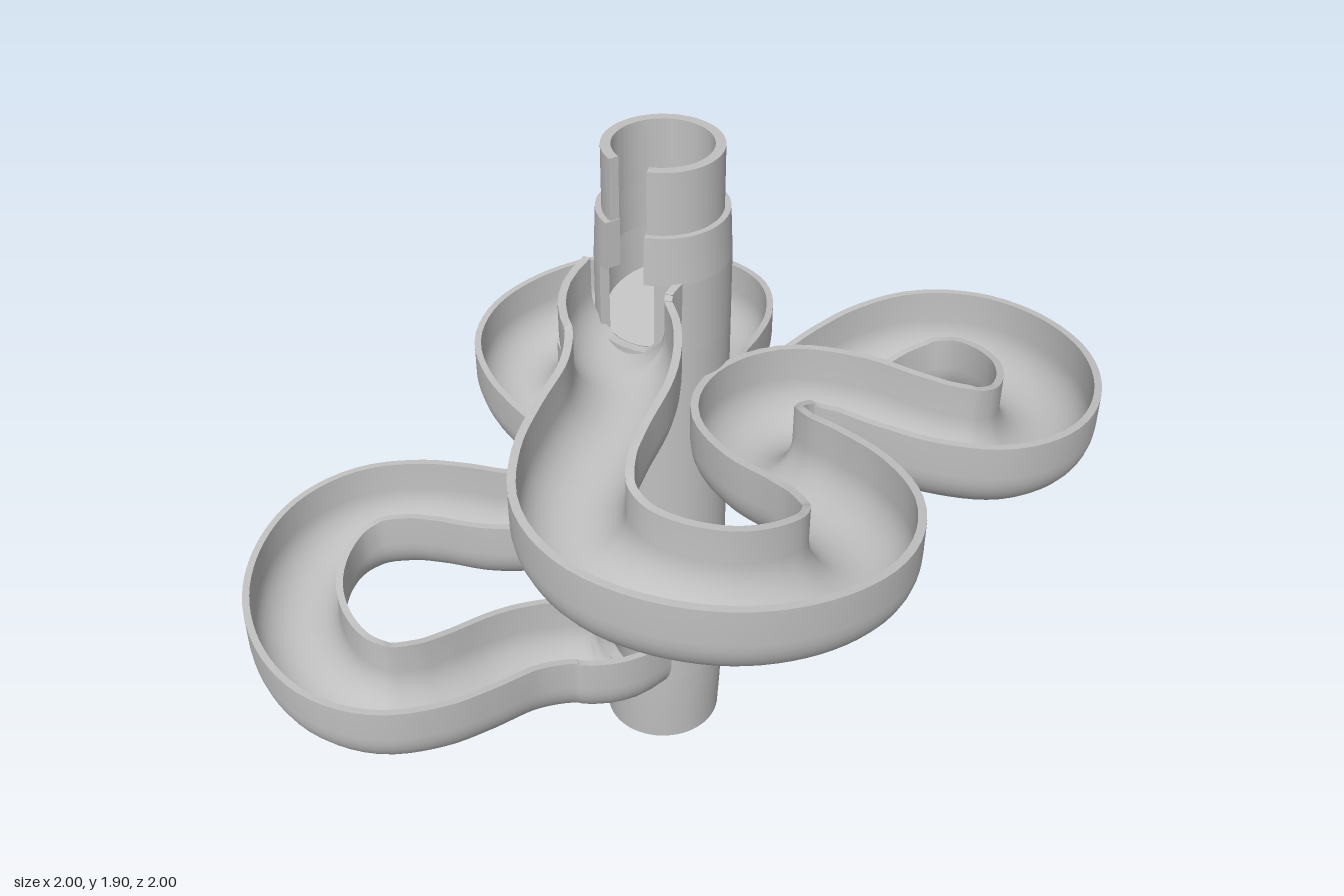
import * as THREE from 'three';
import { toCreasedNormals } from 'three/addons/utils/BufferGeometryUtils.js';

export function createModel() {
  const model = new THREE.Group();
  model.name = 'marbleRun';
  const grey = new THREE.MeshStandardMaterial({ color: 0xc0c0c0, side: THREE.DoubleSide });
  grey.name = 'lightGrey';

  const add = (geometry, name, parent = model) => {
    const mesh = new THREE.Mesh(geometry, grey);
    mesh.name = name;
    parent.add(mesh);
    return mesh;
  };

  // Ring of the column; gap is the half angle of an opening facing -x
  const tubeSection = (name, corners, gap = 0) => {
    const group = new THREE.Group();
    group.name = name;
    const profile = corners.map(([r, y]) => new THREE.Vector2(r, y));
    const start = Math.PI * 1.5 + gap;
    const length = Math.PI * 2 - gap * 2;
    const lathe = new THREE.LatheGeometry([...profile, profile[0]], 64, start, length);
    add(toCreasedNormals(lathe, 0.6), name + 'Wall', group);
    if (gap) {
      for (const phi of [start, start + length]) {
        const edge = add(new THREE.ShapeGeometry(new THREE.Shape(profile)), name + 'Edge', group);
        edge.rotation.y = phi - Math.PI / 2;
      }
    }
    model.add(group);
  };

  // Hollow column with a low inlet and a tall upper slot
  const IN = 0.15, OUT = 0.176;
  tubeSection('columnBase', [[IN, 0], [0.167, 0], [0.172, 0.1], [OUT, 0.2], [OUT, 0.25], [IN, 0.25]]);
  tubeSection('columnInlet', [[IN, 0.25], [OUT, 0.25], [OUT, 0.43], [IN, 0.43]], 0.65);
  tubeSection('columnMiddle', [[IN, 0.43], [OUT, 0.43], [OUT, 1.4], [IN, 1.4]]);
  tubeSection('columnOutlet', [[IN, 1.4], [OUT, 1.4], [OUT, 1.6], [IN, 1.6]], 0.5);
  tubeSection('columnShoulder', [[0.128, 1.6], [OUT, 1.6], [0.17, 1.73], [0.128, 1.73]], 0.35);
  tubeSection('columnTop', [[0.128, 1.73], [0.154, 1.73], [0.154, 1.9], [0.128, 1.9]], 0.37);

  // Sloping floor that rolls marbles out into the track
  const floor = add(new THREE.CylinderGeometry(0.155, 0.155, 0.02, 40), 'outletFloor');
  floor.position.y = 1.43;
  floor.rotation.z = 0.25;

  // Track centre line: one lobe, turned four times about the column
  const half = [[0, 0.305], [0.115, 0.34], [0.19, 0.45], [0.23, 0.6], [0.27, 0.71],
    [0.35, 0.815], [0.47, 0.86], [0.61, 0.835]];
  const lobe = [...half, [0.746, 0.746], ...half.slice(1).reverse().map(([x, z]) => [z, x])];
  const path = [];
  for (let k = -1; k < 3; k++) {
    const c = Math.round(Math.cos(k * Math.PI / 2));
    const s = Math.round(Math.sin(k * Math.PI / 2));
    for (const [x, z] of lobe) path.push([x * c + z * s, z * c - x * s]);
  }
  // Both ends bend into the column
  const end = [[-0.13, 0], [-0.2, 0.01], [-0.26, 0.045], [-0.305, 0.1], [-0.37, 0.15]];
  path.splice(0, 2, ...end);
  path.splice(-1, 1, ...end.map(([x, z]) => [x, -z]).reverse());
  const curve = new THREE.CatmullRomCurve3(path.map(([x, z]) => new THREE.Vector3(x, 0, z)));
  curve.arcLengthDivisions = 3000;

  // U-shaped section: outer wall, then inner wall back again
  const arc = (r) => {
    const points = [[-r, 0]];
    for (let i = 0; i <= 18; i++) {
      const a = Math.PI * (1 + i / 18);
      points.push([r * Math.cos(a), -0.095 + r * Math.sin(a)]);
    }
    points.push([r, 0]);
    return points;
  };
  const section = [...arc(0.14), ...arc(0.12).reverse()];
  const m = section.length;

  // Sweep the section, kept upright, down an even slope
  const steps = 340;
  const position = [], index = [];
  for (let i = 0; i <= steps; i++) {
    const t = i / steps;
    const p = curve.getPointAt(t);
    const d = curve.getTangentAt(t);
    const rim = THREE.MathUtils.lerp(1.605, 0.43, t);
    for (const [u, v] of section) position.push(p.x - d.z * u, rim + v, p.z + d.x * u);
    if (i === steps) break;
    for (let j = 0; j < m; j++) {
      const a = i * m + j, b = i * m + (j + 1) % m;
      index.push(a, a + m, b, b, a + m, b + m);
    }
  }
  // Close both ends of the track
  for (const o of [0, steps * m]) {
    for (let j = 0; j < m / 2 - 1; j++) {
      const a = o + j, b = o + m - 1 - j;
      index.push(a, a + 1, b, a + 1, b - 1, b);
    }
  }
  const track = new THREE.BufferGeometry();
  track.setAttribute('position', new THREE.Float32BufferAttribute(position, 3));
  track.setIndex(index);
  add(toCreasedNormals(track, 0.7), 'track');

  return model;
}
